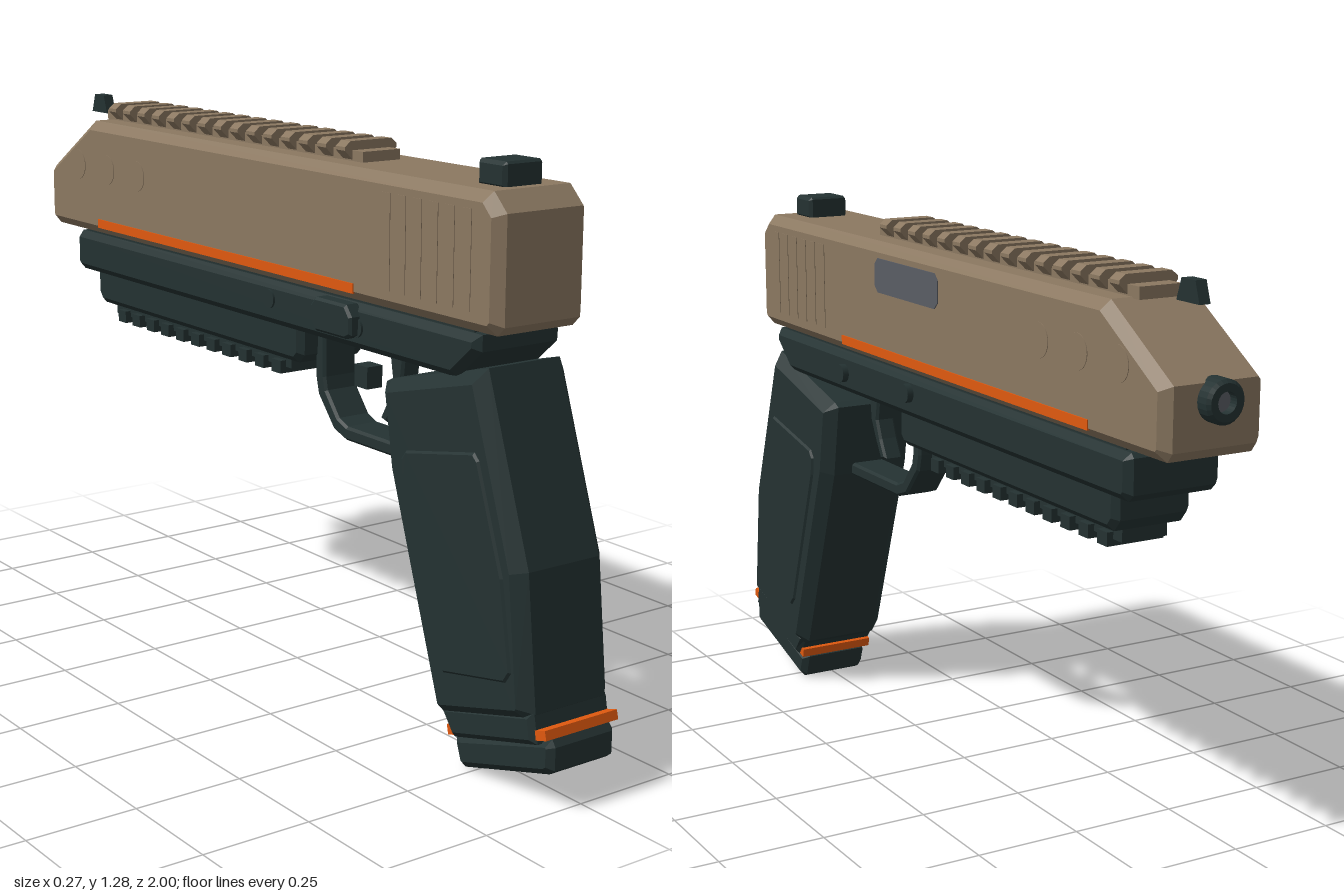
import * as THREE from 'three';

const material = (name, color) => {
  const m = new THREE.MeshStandardMaterial({ color });
  m.name = name;
  return m;
};

export function createModel() {
  const tan = material('tan', 0x8b7861);
  const dark = material('dark green grey', 0x243232);
  const orange = material('orange', 0xe0590f);
  const steel = material('steel grey', 0x5a5d64);

  const root = new THREE.Group();
  root.name = 'sidearm';
  const body = new THREE.Group();
  body.name = 'body';
  body.position.x = 0.003;
  root.add(body);

  const add = (name, geo, mat, x = 0, y = 0, z = 0) => {
    const mesh = new THREE.Mesh(geo, mat);
    mesh.name = name;
    mesh.position.set(x, y, z);
    body.add(mesh);
    return mesh;
  };
  const box = (name, mat, w, h, d, x, y, z) => add(name, new THREE.BoxGeometry(w, h, d), mat, x, y, z);

  // Side profile given as [z, y] points, extruded across x with a chamfer
  const slab = (name, mat, points, width, bevel = 0, x = 0) => {
    const shape = new THREE.Shape(points.map(([z, y]) => new THREE.Vector2(z, y)));
    const geo = new THREE.ExtrudeGeometry(shape, {
      depth: width - 2 * bevel, bevelEnabled: bevel > 0, bevelSize: bevel,
      bevelThickness: bevel, bevelOffset: -bevel, bevelSegments: 1,
    });
    geo.translate(0, 0, -(width - 2 * bevel) / 2);
    geo.rotateY(-Math.PI / 2);
    return add(name, geo, mat, x);
  };

  // Rod lying along x
  const rod = (name, mat, r, length, x, y, z, sides = 24) => {
    const geo = new THREE.CylinderGeometry(r, r, length, sides);
    geo.rotateZ(Math.PI / 2);
    return add(name, geo, mat, x, y, z);
  };

  // Slide with sloped nose
  slab('slide', tan, [
    [0.82, 0.95], [0.84, 0.97], [0.84, 1.195], [0.80, 1.235], [-0.75, 1.235],
    [-0.965, 1.10], [-0.965, 0.97], [-0.95, 0.95],
  ], 0.242, 0.022);

  for (const s of [-1, 1]) {
    // Accent stripe, rear serrations and round side ports
    box('accentStripe', orange, 0.006, 0.022, 1.085, s * 0.121, 0.979, -0.167);
    for (let i = 0; i < 6; i++) {
      box('serration', tan, 0.006, 0.205, 0.03, s * 0.1195, 1.095, 0.745 - i * 0.052);
    }
    for (let i = 0; i < 3; i++) {
      rod('sidePort', tan, 0.038, 0.006, s * 0.1195, 1.12, -0.52 - i * 0.145);
    }
  }

  // Ejection port plate with clipped corners
  slab('ejectionPort', steel, [
    [0.185, 1.12], [0.2, 1.135], [0.2, 1.185], [0.185, 1.2],
    [-0.085, 1.2], [-0.1, 1.185], [-0.1, 1.135], [-0.085, 1.12],
  ], 0.006, 0, 0.1205);

  // Top rail
  box('topRailBase', tan, 0.1, 0.026, 1.085, 0, 1.245, -0.232);
  const tooth = new THREE.Shape([
    [-0.05, -0.02], [0.05, -0.02], [0.07, 0], [0.07, 0.008], [0.055, 0.02],
    [-0.055, 0.02], [-0.07, 0.008], [-0.07, 0],
  ].map(([x, y]) => new THREE.Vector2(x, y)));
  const toothGeo = new THREE.ExtrudeGeometry(tooth, { depth: 0.034, bevelEnabled: false });
  toothGeo.translate(0, 0, -0.017);
  for (let i = 0; i < 15; i++) add('topRailTooth', toothGeo, tan, 0, 1.258, 0.256 - i * 0.0695);

  // Sights
  slab('rearSight', dark, [[0.775, 1.23], [0.775, 1.28], [0.77, 1.285], [0.695, 1.285], [0.69, 1.28], [0.69, 1.23]], 0.104, 0.008);
  slab('frontSight', dark, [[-0.845, 1.24], [-0.86, 1.285], [-0.905, 1.285], [-0.92, 1.24]], 0.026);

  // Muzzle ring and bore
  const ring = new THREE.LatheGeometry([
    [0.022, -0.04], [0.045, -0.04], [0.045, 0.028], [0.038, 0.035], [0.022, 0.035], [0.022, -0.04],
  ].map(([r, y]) => new THREE.Vector2(r, y)), 24);
  ring.rotateX(-Math.PI / 2);
  add('muzzleRing', ring.toNonIndexed(), dark, 0, 1.065, -0.965).geometry.computeVertexNormals();
  const bore = new THREE.CylinderGeometry(0.022, 0.022, 0.03, 20);
  bore.rotateX(Math.PI / 2);
  add('bore', bore, steel, 0, 1.065, -0.965);

  // Frame and dust cover
  slab('frame', dark, [
    [0.775, 0.945], [0.775, 0.91], [0.70, 0.845], [-0.825, 0.845],
    [-0.84, 0.86], [-0.84, 0.935], [-0.83, 0.945],
  ], 0.23, 0.016);
  box('slideSeat', dark, 0.19, 0.03, 1.55, 0, 0.945, -0.03);
  slab('dustCover', dark, [
    [0.14, 0.86], [0.14, 0.785], [0.12, 0.765], [-0.75, 0.765], [-0.77, 0.79], [-0.77, 0.86],
  ], 0.19, 0.014);

  // Lower accessory rail
  box('lowerRailBase', dark, 0.11, 0.035, 0.79, 0, 0.752, -0.345);
  for (let i = 0; i < 11; i++) box('lowerRailTooth', dark, 0.14, 0.03, 0.036, 0, 0.735, 0.01 - i * 0.07);

  // Trigger guard and trigger
  slab('triggerGuard', dark, [
    [0.53, 0.605], [0.245, 0.605], [0.20, 0.62], [0.14, 0.69], [0.13, 0.73], [0.13, 0.86],
    [0.60, 0.86], [0.58, 0.825], [0.165, 0.825], [0.165, 0.735], [0.172, 0.705],
    [0.217, 0.65], [0.25, 0.637], [0.53, 0.637],
  ], 0.09, 0.006);
  slab('trigger', dark, [
    [0.43, 0.84], [0.42, 0.76], [0.395, 0.71], [0.37, 0.668], [0.345, 0.675], [0.37, 0.72],
    [0.388, 0.765], [0.375, 0.84],
  ], 0.05, 0.006);

  // Pins and controls
  rod('frontPin', dark, 0.022, 0.25, 0.005, 0.905, 0.05);
  rod('rearPin', dark, 0.022, 0.25, 0.005, 0.895, 0.38);
  slab('slideStop', dark, [
    [0.39, 0.88], [0.39, 0.92], [0.37, 0.945], [0.26, 0.945], [0.24, 0.925], [0.24, 0.895], [0.26, 0.87], [0.37, 0.87],
  ], 0.04, 0.006, -0.121);
  box('magazineRelease', dark, 0.04, 0.048, 0.045, -0.121, 0.8, 0.43);

  // Grip, raised side panels, collar
  slab('grip', dark, [
    [0.79, 0.88], [0.925, 0.49], [0.957, 0.2], [0.94, 0.18], [0.68, 0.107], [0.658, 0.12],
    [0.49, 0.61], [0.46, 0.79], [0.48, 0.80],
  ], 0.244, 0.028);
  for (const s of [-1, 1]) {
    slab('gripPanel', dark, [
      [0.80, 0.695], [0.785, 0.71], [0.565, 0.665], [0.55, 0.645], [0.555, 0.60], [0.68, 0.235],
      [0.70, 0.215], [0.895, 0.255], [0.912, 0.28], [0.88, 0.47],
    ], 0.016, 0.005, s * 0.119);
  }
  slab('gripCollar', dark, [[0.955, 0.205], [0.968, 0.14], [0.71, 0.068], [0.67, 0.125]], 0.216, 0.012);

  // Magazine band and base plate
  slab('magazineBand', orange, [[0.99, 0.178], [0.995, 0.158], [0.69, 0.066], [0.685, 0.088]], 0.196);
  slab('basePlate', dark, [
    [0.99, 0.155], [1.0, 0.14], [1.0, 0.09], [0.985, 0.078], [0.725, 0], [0.712, 0.008], [0.693, 0.062],
  ], 0.182, 0.014);

  return root;
}
